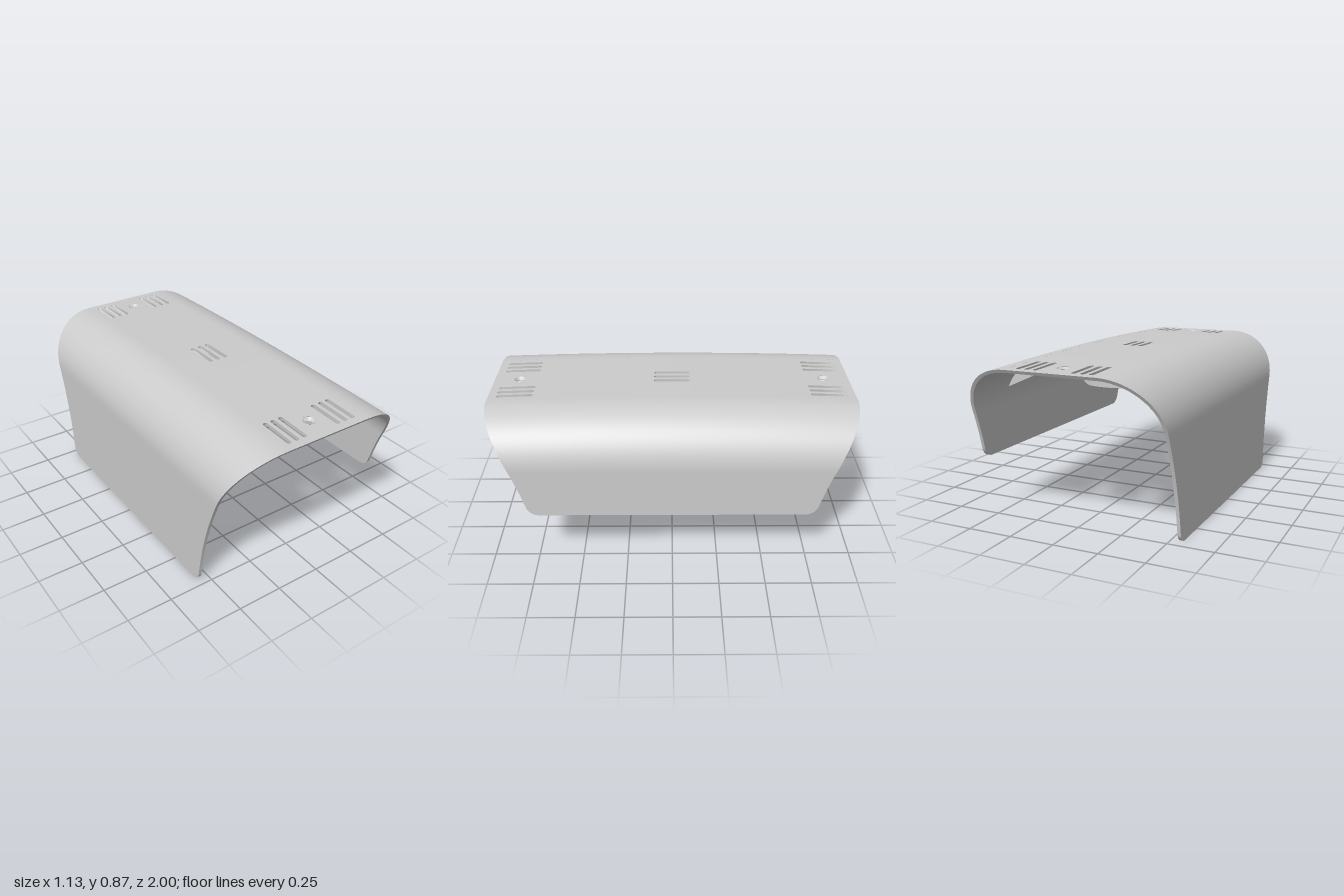
import * as THREE from 'three';
import { mergeGeometries, toCreasedNormals } from 'three/addons/utils/BufferGeometryUtils.js';

const T = 0.018;                              // sheet thickness
const FLAT = 0.25, ARC_Y = 0.575;             // half width of the flat top, start of the bend
const RX = 0.3, RY = 0.295, TOP = ARC_Y + RY;

// Half length of the cover at height y (the ends flare outward toward the top)
const halfLength = (y) => 0.72 + 0.064 * y + 0.297 * y * y;

// Slight bow of the top along its length
const bow = (y, z) => 0.02 * z * z * THREE.MathUtils.clamp((y - ARC_Y) / RY, 0, 1);

function reshape(geometry, rule) {
  const p = geometry.attributes.position;
  const v = new THREE.Vector3();
  for (let i = 0; i < p.count; i++) {
    rule(v.fromBufferAttribute(p, i));
    p.setXYZ(i, v.x, v.y, v.z);
  }
  return toCreasedNormals(geometry, 0.6);
}

function slot(x, z, length, width) {
  const r = width / 2, h = length / 2 - r;
  const path = new THREE.Path();
  path.absarc(x, z + h, r, 0, Math.PI);
  path.absarc(x, z - h, r, Math.PI, 2 * Math.PI);
  path.closePath();
  return path;
}

// Flat top, made in strips so that it can follow the bow
function topGeometry() {
  const cuts = [-1, -0.72, -0.54, -0.33, -0.12, 0.12, 0.33, 0.54, 0.72, 1];
  const strips = [];
  for (let i = 0; i < cuts.length - 1; i++) {
    const a = cuts[i], b = cuts[i + 1], mid = (a + b) / 2;
    const shape = new THREE.Shape([[-FLAT, a], [FLAT, a], [FLAT, b], [-FLAT, b]]
      .map(([x, y]) => new THREE.Vector2(x, y)));
    if (Math.abs(mid) < 0.01) {
      for (const x of [-0.048, 0, 0.048]) shape.holes.push(slot(x, 0, 0.2, 0.026));
    } else if (Math.abs(mid) > 0.8) {
      const z = Math.sign(mid) * 0.855;
      for (const x of [0.105, 0.153, 0.2]) {
        shape.holes.push(slot(x, z, 0.2, 0.026), slot(-x, z, 0.2, 0.026));
      }
      shape.holes.push(new THREE.Path().absarc(0, z, 0.034, 0, 2 * Math.PI));
    }
    const strip = new THREE.ExtrudeGeometry(shape, { depth: T, bevelEnabled: false, curveSegments: 10 });
    strips.push(strip.rotateX(-Math.PI / 2).translate(0, TOP - T, 0));
  }
  return reshape(mergeGeometries(strips), (v) => {
    v.z *= halfLength(v.y) / halfLength(TOP);
    v.y -= bow(v.y, v.z);
  });
}

// Bent shoulder and side wall: a box wrapped along the profile
function sideGeometry(side, footX, footY) {
  const ARC = 24, WALL = 8, FOOT = 8, R = 0.05;
  const rows = ARC + WALL + FOOT;
  const wallPoint = (i) => {
    if (i <= ARC + WALL) return THREE.MathUtils.lerp(ARC_Y, footY + R, (i - ARC) / WALL);
    return footY + R * (1 - Math.sin((i - ARC - WALL) / FOOT * Math.PI / 2));
  };
  return reshape(new THREE.BoxGeometry(1, 1, 1, rows, 1, 32), (v) => {
    const i = Math.round((0.5 + side * v.x) * rows);
    const inset = v.y > 0 ? 0 : T;
    let x, y, trim = 0;
    if (i <= ARC) {
      const a = (i / ARC) * Math.PI / 2;
      x = FLAT + (RX - inset) * Math.sin(a);
      y = ARC_Y + (RY - inset) * Math.cos(a);
    } else {
      y = wallPoint(i);
      x = THREE.MathUtils.lerp(FLAT + RX, footX, (ARC_Y - y) / (ARC_Y - footY)) - inset;
      // Rounded lower corners
      const d = Math.max(0, R - (y - footY));
      trim = R - Math.sqrt(Math.max(0, R * R - d * d));
    }
    const z = v.z * 2 * (halfLength(y) - trim);
    v.set(side * x, y - bow(y, z), z);
  });
}

// Stiffening rib between the top and the side, straight along its lower edge
function ribGeometry(side) {
  const points = [new THREE.Vector2(side * 0.12, 0.848)];
  for (let i = 0; i <= 14; i++) {
    const a = THREE.MathUtils.lerp(0.38, Math.PI / 2, i / 14);
    points.push(new THREE.Vector2(side * (FLAT + 0.288 * Math.cos(a)), 0.569 + 0.283 * Math.sin(a)));
  }
  points.push(new THREE.Vector2(side * 0.12, 0.852));
  return new THREE.ExtrudeGeometry(new THREE.Shape(points), { depth: 0.016, bevelEnabled: false })
    .translate(0, 0, -0.008);
}

// Hanging tab with rounded lower corners, bulging toward the end of the cover
function tabGeometry(end) {
  const HALF = 0.18, R = 0.085, BOTTOM = 0.684;
  return reshape(new THREE.BoxGeometry(2, 1, 0.016, 36, 1, 1), (v) => {
    const s = Math.sin(v.x * Math.PI / 2);    // crowd the columns toward the corners
    const d = Math.max(0, Math.abs(s) * HALF - (HALF - R));
    v.x = s * HALF + 0.004;
    v.y = v.y > 0 ? 0.858 : BOTTOM + R - Math.sqrt(Math.max(0, R * R - d * d));
    v.z += end * (0.36 + 0.06 * (1 - s * s));
  });
}

export function createModel() {
  const model = new THREE.Group();
  const grey = new THREE.MeshStandardMaterial({ color: 0xcccccc });
  const thin = new THREE.MeshStandardMaterial({ color: 0xcccccc, side: THREE.DoubleSide });
  const add = (name, geometry, material = grey) => {
    const mesh = new THREE.Mesh(geometry, material);
    mesh.name = name;
    model.add(mesh);
    return mesh;
  };

  add('slottedTop', topGeometry());
  add('shortSideWall', sideGeometry(1, 0.562, 0.32));
  add('longSideWall', sideGeometry(-1, 0.565, 0));

  // Countersunk screw seat profile
  const seat = [[0.035, 0], [0.018, 0], [0.018, 0.004], [0.035, T]].map(([x, y]) => new THREE.Vector2(x, y));
  for (const end of [1, -1]) {
    add('screwSeat', toCreasedNormals(new THREE.LatheGeometry(seat, 28), 0.5), thin)
      .position.set(0, TOP - T - bow(TOP, 0.855), end * 0.855);
    add('hangingTab', tabGeometry(end));
    for (const side of [1, -1]) add('rib', ribGeometry(side)).position.z = end * 0.58;
  }
  return model;
}
